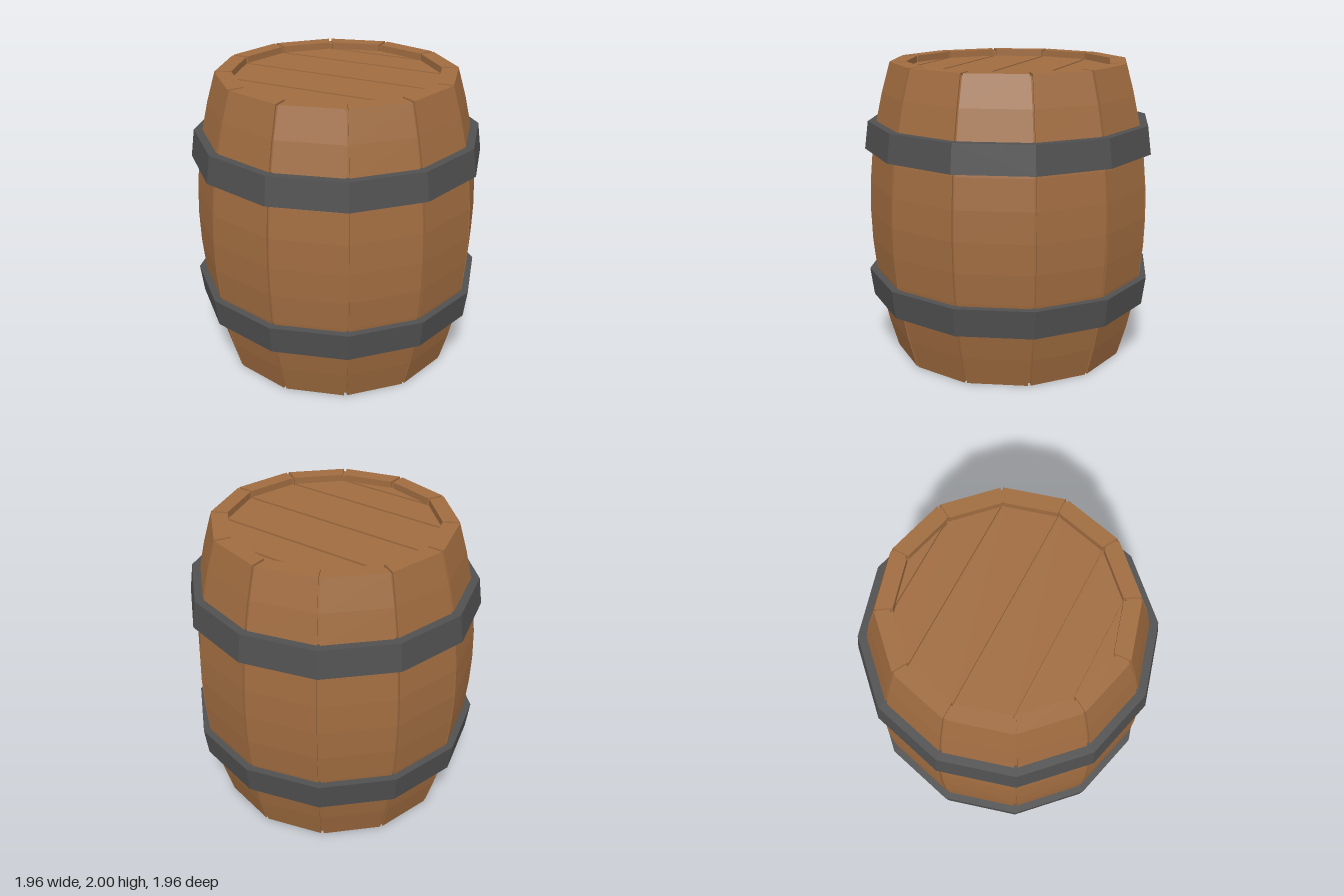
import * as THREE from 'three';

const SIDES = 12;
const STEP = (Math.PI * 2) / SIDES;
const GAP = 0.01;     // half the width of a groove
const GROOVE = 0.015; // depth of a groove
const INNER = 0.69;   // corner radius inside the rim

const wood = new THREE.MeshStandardMaterial({ color: 0xa06c40, flatShading: true });
const iron = new THREE.MeshStandardMaterial({ color: 0x505050, flatShading: true });

// Corner radius of the bulging barrel at a given height
const bulge = (y) => 0.96 - 0.16 * (y - 1) ** 2;

function addMesh(parent, name, geometry, material) {
  const mesh = new THREE.Mesh(geometry, material);
  mesh.name = name;
  parent.add(mesh);
  return mesh;
}

function lathe(points) {
  return new THREE.LatheGeometry(points.map(([r, y]) => new THREE.Vector2(r, y)), SIDES);
}

// One stave: a box bent to the bulge, narrowing toward the axis
function staveGeometry() {
  const geometry = new THREE.BoxGeometry(2, 2, 1, 1, 10, 1);
  const p = geometry.attributes.position;
  for (let i = 0; i < p.count; i++) {
    const y = p.getY(i) + 1;
    const r = p.getZ(i) > 0 ? bulge(y) : INNER;
    const half = r * Math.sin(STEP / 2) - GAP;
    p.setXYZ(i, Math.sign(p.getX(i)) * half, y, r * Math.cos(STEP / 2));
  }
  geometry.computeVertexNormals();
  return geometry;
}

// One lid plank: the strip of a twelve-sided disc between two opposite corner pairs
function plankGeometry(k) {
  const r = INNER + 0.005;
  const a = k * STEP, b = (k + 1) * STEP;
  const z0 = r * Math.sin(a), z1 = r * Math.sin(b);
  const x0 = r * Math.cos(a), x1 = r * Math.cos(b);
  const at = (z) => Math.max(0, x0 + ((x1 - x0) * (z - z0)) / (z1 - z0));
  const lo = k === -3 ? z0 : z0 + GAP;
  const hi = k === 2 ? z1 : z1 - GAP;
  const corners = [[-at(lo), lo], [at(lo), lo], [at(hi), hi], [-at(hi), hi]]
    .filter(([x], i, all) => Math.abs(x) > 1e-6 || i === 0 || i === 2);
  const shape = new THREE.Shape(corners.map(([x, z]) => new THREE.Vector2(x, z)));
  const geometry = new THREE.ExtrudeGeometry(shape, { depth: 0.03, bevelEnabled: false });
  return geometry.rotateX(-Math.PI / 2);
}

export function createModel() {
  const barrel = new THREE.Group();
  barrel.name = 'barrel';

  // Staves around the axis, with a groove at every corner
  const staves = new THREE.Group();
  staves.name = 'staves';
  barrel.add(staves);
  const stave = staveGeometry();
  for (let i = 0; i < SIDES; i++) {
    addMesh(staves, 'stave', stave, wood).rotation.y = (i + 0.5) * STEP;
  }

  // Core that closes the bottoms of the grooves
  const profile = [[INNER + GROOVE, 0.1], [INNER + GROOVE, GROOVE]];
  for (let i = 0; i <= 10; i++) {
    const y = THREE.MathUtils.lerp(GROOVE, 2 - GROOVE, i / 10);
    profile.push([bulge(y) - GROOVE, y]);
  }
  profile.push([INNER + GROOVE, 2 - GROOVE], [INNER + GROOVE, 1.92]);
  addMesh(barrel, 'core', lathe(profile), wood);

  // Lid planks on a solid backing, and a plain recessed bottom
  const lid = new THREE.Group();
  lid.name = 'lid';
  barrel.add(lid);
  for (let k = -3; k < 3; k++) {
    addMesh(lid, 'lidPlank', plankGeometry(k), wood).position.y = 1.925;
  }
  const disc = new THREE.CylinderGeometry(INNER + GROOVE, INNER + GROOVE, 0.02, SIDES);
  addMesh(lid, 'lidBacking', disc, wood).position.y = 1.925;
  addMesh(barrel, 'bottom', disc, wood).position.y = 0.09;

  // Two iron hoops, mirrored about the middle, wider toward it
  addMesh(barrel, 'upperHoop', lathe([
    [0.9, 1.425], [0.98, 1.425], [0.955, 1.61], [0.87, 1.61], [0.9, 1.425],
  ]), iron);
  addMesh(barrel, 'lowerHoop', lathe([
    [0.87, 0.39], [0.955, 0.39], [0.98, 0.58], [0.9, 0.58], [0.87, 0.39],
  ]), iron);

  return barrel;
}
